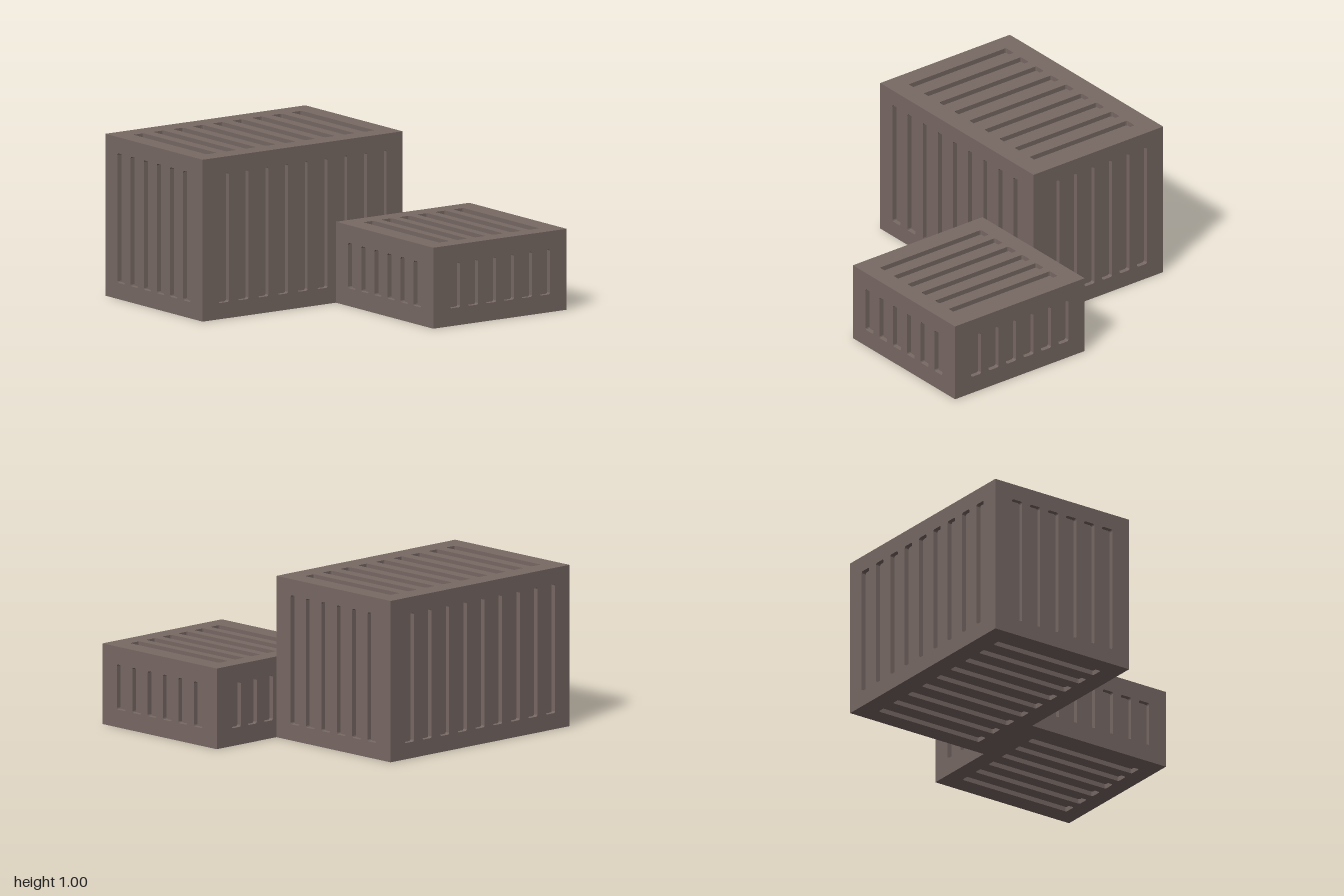
import * as THREE from 'three';
import { mergeGeometries } from 'three/addons/utils/BufferGeometryUtils.js';

const DEPTH = 0.03, SLOT = 0.076, CORNER = 0.01;

// Outline of one slot with slightly rounded corners, counter-clockwise
function slotPoints(cx, h) {
  const x = SLOT / 2 - CORNER, y = h / 2 - CORNER, pts = [];
  [[x, y], [-x, y], [-x, -y], [x, -y]].forEach(([px, py], q) => {
    for (let i = 0; i <= 2; i++) {
      const a = (q + i / 2) * Math.PI / 2;
      pts.push(new THREE.Vector2(cx + px + CORNER * Math.cos(a), py + CORNER * Math.sin(a)));
    }
  });
  return pts;
}

// Walls of a recess, facing inwards
function recessWalls(pts) {
  const pos = [], uv = [];
  pts.forEach((a, i) => {
    const b = pts[(i + 1) % pts.length];
    pos.push(a.x, a.y, 0, b.x, b.y, -DEPTH, a.x, a.y, -DEPTH);
    pos.push(a.x, a.y, 0, b.x, b.y, 0, b.x, b.y, -DEPTH);
    uv.push(0, 0, 1, 1, 0, 1, 0, 0, 1, 0, 1, 1);
  });
  const g = new THREE.BufferGeometry();
  g.setAttribute('position', new THREE.Float32BufferAttribute(pos, 3));
  g.setAttribute('uv', new THREE.Float32BufferAttribute(uv, 2));
  g.computeVertexNormals();
  return g;
}

// Flat panel in the xy plane with a row of recessed upright slots
function panel(w, h, count, marginX, marginY) {
  const face = new THREE.Shape([
    new THREE.Vector2(-w / 2, -h / 2), new THREE.Vector2(w / 2, -h / 2),
    new THREE.Vector2(w / 2, h / 2), new THREE.Vector2(-w / 2, h / 2),
  ]);
  const parts = [];
  const span = w - 2 * marginX - SLOT;
  for (let i = 0; i < count; i++) {
    const pts = slotPoints(-span / 2 + span * i / (count - 1), h - 2 * marginY);
    face.holes.push(new THREE.Path(pts));
    parts.push(recessWalls(pts));
    parts.push(new THREE.ShapeGeometry(new THREE.Shape(pts)).translate(0, 0, -DEPTH).toNonIndexed());
  }
  parts.push(new THREE.ShapeGeometry(face).toNonIndexed());
  return mergeGeometries(parts);
}

// Closed crate: six slotted panels
function crate(name, [w, h, d], [nx, nz], sideMargin, topMargin, material) {
  const group = new THREE.Group();
  group.name = name;
  const add = (part, geometry, rx, ry, x, y, z) => {
    const mesh = new THREE.Mesh(geometry, material);
    mesh.name = part;
    mesh.rotation.set(rx, ry, 0);
    mesh.position.set(x, y, z);
    group.add(mesh);
  };
  const mx = nx > 6 ? 0.12 : 0.125;
  const long = panel(w, h, nx, mx, sideMargin);
  const end = panel(d, h, nz, 0.125, sideMargin);
  const flat = panel(w, d, nx, mx, topMargin);
  const q = Math.PI / 2;
  add('frontPanel', long, 0, 0, 0, h / 2, d / 2);
  add('backPanel', long, 0, Math.PI, 0, h / 2, -d / 2);
  add('leftPanel', end, 0, q, w / 2, h / 2, 0);
  add('rightPanel', end, 0, -q, -w / 2, h / 2, 0);
  add('topPanel', flat, -q, 0, 0, h, 0);
  add('bottomPanel', flat, q, 0, 0, 0, 0);
  return group;
}

export function createModel() {
  const model = new THREE.Group();
  model.name = 'crates';
  const material = new THREE.MeshStandardMaterial({ color: 0x786964, flatShading: true });

  const large = crate('largeCrate', [1.5, 1, 1], [9, 6], 0.1, 0.125, material);
  large.position.set(-0.25, 0, -0.5);
  const small = crate('smallCrate', [1, 0.5, 1], [6, 6], 0.11, 0.11, material);
  small.position.set(0.5, 0, 0.5);

  model.add(large, small);
  return model;
}
